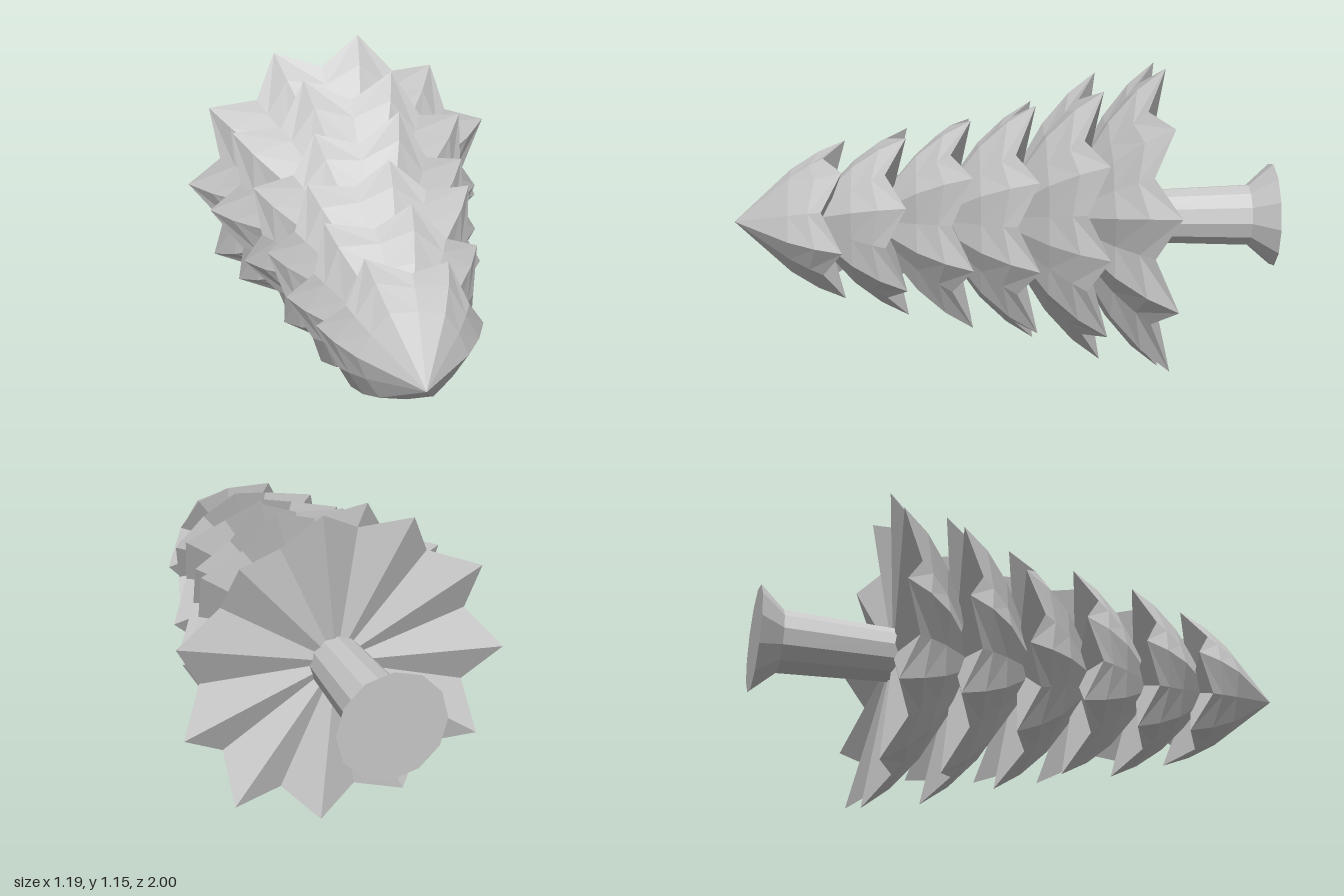
import * as THREE from 'three';

const AXIS_Y = 0.572;

// Each tier of scales: z of the tips, angle of the first tip, radius of each tip
const TIERS = [
  { z: 0.59, start: -6, tips: [0.30, 0.285, 0.30, 0.29, 0.29, 0.29] },
  { z: 0.36, start: 23.6, tips: [0.36, 0.347, 0.365, 0.356, 0.36, 0.36, 0.36] },
  { z: 0.125, start: -9, tips: [0.415, 0.44, 0.395, 0.40, 0.39, 0.41, 0.425, 0.42] },
  { z: -0.105, start: -7.4, tips: [0.455, 0.46, 0.487, 0.44, 0.45, 0.455, 0.46, 0.47, 0.46] },
  { z: -0.345, start: 0, tips: [0.51, 0.54, 0.545, 0.54, 0.545, 0.54, 0.545, 0.53, 0.53, 0.53] },
  { z: -0.575, start: -16.4, tips: [0.6, 0.62, 0.57, 0.587, 0.586, 0.599, 0.6, 0.608, 0.555, 0.577, 0.61] },
];

// Rings from front to back: [radius factor, z offset] along the ridge and the valley
const RINGS = [
  { ridge: [0, 0.41], valley: [0, 0.41] },
  { ridge: [0.65, 0.2], valley: [0.59, 0.2] },
  { ridge: [0.86, 0.1], valley: [0.75, 0.125] },
  { ridge: [1, 0], valley: [0.84, 0.075] },
  { ridge: [0, 0.08], valley: [0, 0.08] },
];

function tierGeometry({ z, start, tips }) {
  const count = tips.length * 2;
  const mean = tips.reduce((a, b) => a + b, 0) / tips.length;
  const positions = [];
  const index = [];
  for (const ring of RINGS) {
    for (let i = 0; i < count; i++) {
      const isRidge = i % 2 === 0;
      const [factor, dz] = isRidge ? ring.ridge : ring.valley;
      const r = factor * (isRidge ? tips[i / 2] : mean);
      const a = THREE.MathUtils.degToRad(start + (i * 360) / count);
      positions.push(r * Math.cos(a), r * Math.sin(a), z + dz);
    }
  }
  const last = RINGS.length - 2;
  for (let k = 0; k <= last; k++) {
    for (let i = 0; i < count; i++) {
      const j = (i + 1) % count;
      const a = k * count + i, a2 = k * count + j;
      const b = a + count, b2 = a2 + count;
      // split each quad symmetrically about the ridge; the end rings are points
      if (k === 0) index.push(a, b, b2);
      else if (k === last) index.push(a, b, a2);
      else if (i % 2 === 0) index.push(a, b, a2, a2, b, b2);
      else index.push(a, b, b2, a, b2, a2);
    }
  }
  const geometry = new THREE.BufferGeometry();
  geometry.setAttribute('position', new THREE.Float32BufferAttribute(positions, 3));
  geometry.setIndex(index);
  const flat = geometry.toNonIndexed();
  flat.computeVertexNormals();
  return flat;
}

export function createModel() {
  const group = new THREE.Group();
  group.name = 'pineCone';
  const grey = new THREE.MeshStandardMaterial({ color: 0xc8c8c8, flatShading: true });
  grey.name = 'light grey';

  // Overlapping tiers of pointed scales, the first closing the cone's tip
  TIERS.forEach((tier, i) => {
    const mesh = new THREE.Mesh(tierGeometry(tier), grey);
    mesh.name = i === 0 ? 'tipScales' : `scaleTier${i + 1}`;
    mesh.position.y = AXIS_Y;
    group.add(mesh);
  });

  // Stem with a flared end
  const profile = [[0.097, 0.45], [0.115, 0.91], [0.195, 1], [0, 1]]
    .map(([r, d]) => new THREE.Vector2(r, d));
  const stem = new THREE.Mesh(new THREE.LatheGeometry(profile, 12), grey);
  stem.name = 'stem';
  stem.rotation.x = -Math.PI / 2;
  stem.position.y = AXIS_Y;
  group.add(stem);

  return group;
}
